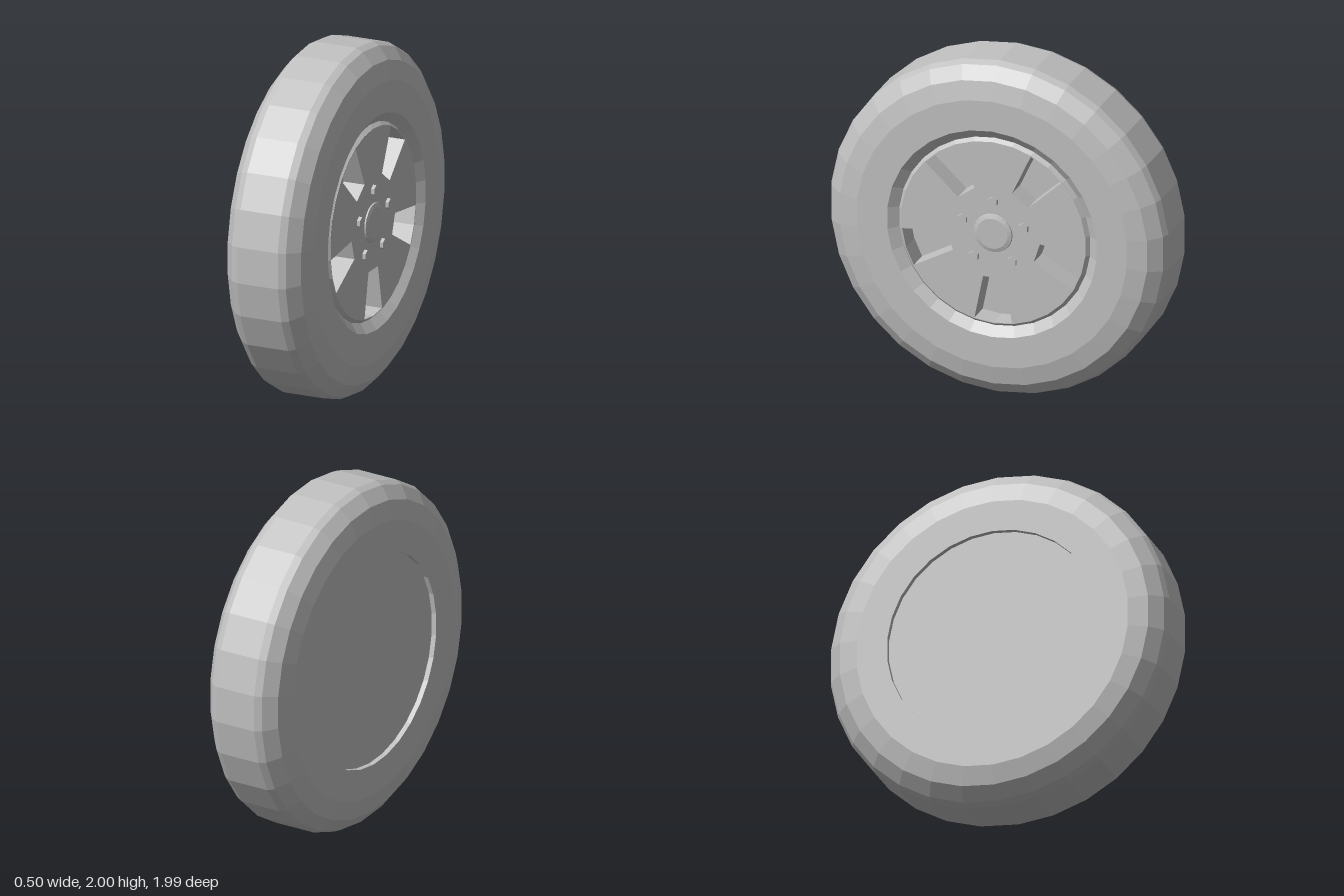
import * as THREE from 'three';

const SIDES = 30;
const rubberGrey = new THREE.MeshStandardMaterial({ color: 0xc0c0c0 });
rubberGrey.name = 'lightGrey';

// Faceted mesh: every face keeps its own normal
function facetedMesh(name, geometry) {
  const flat = geometry.index ? geometry.toNonIndexed() : geometry;
  flat.computeVertexNormals();
  const mesh = new THREE.Mesh(flat, rubberGrey);
  mesh.name = name;
  return mesh;
}

// Revolve [x, radius] pairs, listed from back to front, around the x axis
function turned(name, profile, sides = SIDES) {
  const points = profile.map(([x, r]) => new THREE.Vector2(r, x));
  const geometry = new THREE.LatheGeometry(points, sides, Math.PI / 2);
  geometry.rotateZ(-Math.PI / 2);
  return facetedMesh(name, geometry);
}

export function createModel() {
  const model = new THREE.Group();
  model.name = 'wheel';
  const wheel = new THREE.Group();
  wheel.name = 'wheelAssembly';
  wheel.position.y = 1;
  model.add(wheel);

  // Tyre: sidewalls, shoulders and tread
  wheel.add(turned('tyre', [
    [-0.22, 0.62], [-0.25, 0.62], [-0.25, 0.8], [-0.225, 0.91], [-0.165, 0.982], [-0.125, 1],
    [0.125, 1], [0.165, 0.982], [0.225, 0.91], [0.25, 0.8], [0.25, 0.62],
  ]));

  // Closed, slightly sunken back
  wheel.add(turned('backPlate', [[-0.22, 0], [-0.22, 0.62]]));

  // Rim: bead slope, groove, raised edge, barrel and floor behind the windows
  wheel.add(turned('rim', [
    [0.25, 0.62], [0.205, 0.565], [0.228, 0.545], [0.1, 0.545], [0.1, 0],
  ]));

  // Wheel disc with five tapered windows
  const disc = new THREE.Shape();
  for (let i = 0; i < SIDES; i++) {
    const a = Math.PI / 2 + (i / SIDES) * Math.PI * 2;
    const x = 0.546 * Math.cos(a), y = 0.546 * Math.sin(a);
    if (i === 0) disc.moveTo(x, y); else disc.lineTo(x, y);
  }
  disc.closePath();
  const windowOutline = [[-0.06, -0.27], [0.06, -0.27], [0.111, -0.529], [0, -0.541], [-0.111, -0.529]];
  const centre = new THREE.Vector2();
  for (let i = 0; i < 5; i++) {
    const corners = windowOutline.map(([x, y]) =>
      new THREE.Vector2(x, y).rotateAround(centre, (i / 5) * Math.PI * 2));
    disc.holes.push(new THREE.Path(corners));
  }
  const discGeometry = new THREE.ExtrudeGeometry(disc, { depth: 0.128, bevelEnabled: false });
  discGeometry.rotateY(Math.PI / 2);
  discGeometry.translate(0.1, 0, 0);
  wheel.add(facetedMesh('wheelDisc', discGeometry));

  // Low centre cap
  wheel.add(turned('centreCap', [[0.226, 0.115], [0.236, 0.112], [0.243, 0.09], [0.243, 0]], 24));

  // Five hexagonal bolts
  for (let i = 0; i < 5; i++) {
    const a = Math.PI / 2 + (i / 5) * Math.PI * 2;
    const geometry = new THREE.CylinderGeometry(0.031, 0.031, 0.024, 6, 1, false, Math.PI / 2);
    geometry.rotateZ(-Math.PI / 2);
    const bolt = facetedMesh('bolt', geometry);
    bolt.position.set(0.236, 0.19 * Math.sin(a), 0.19 * Math.cos(a));
    wheel.add(bolt);
  }

  return model;
}
